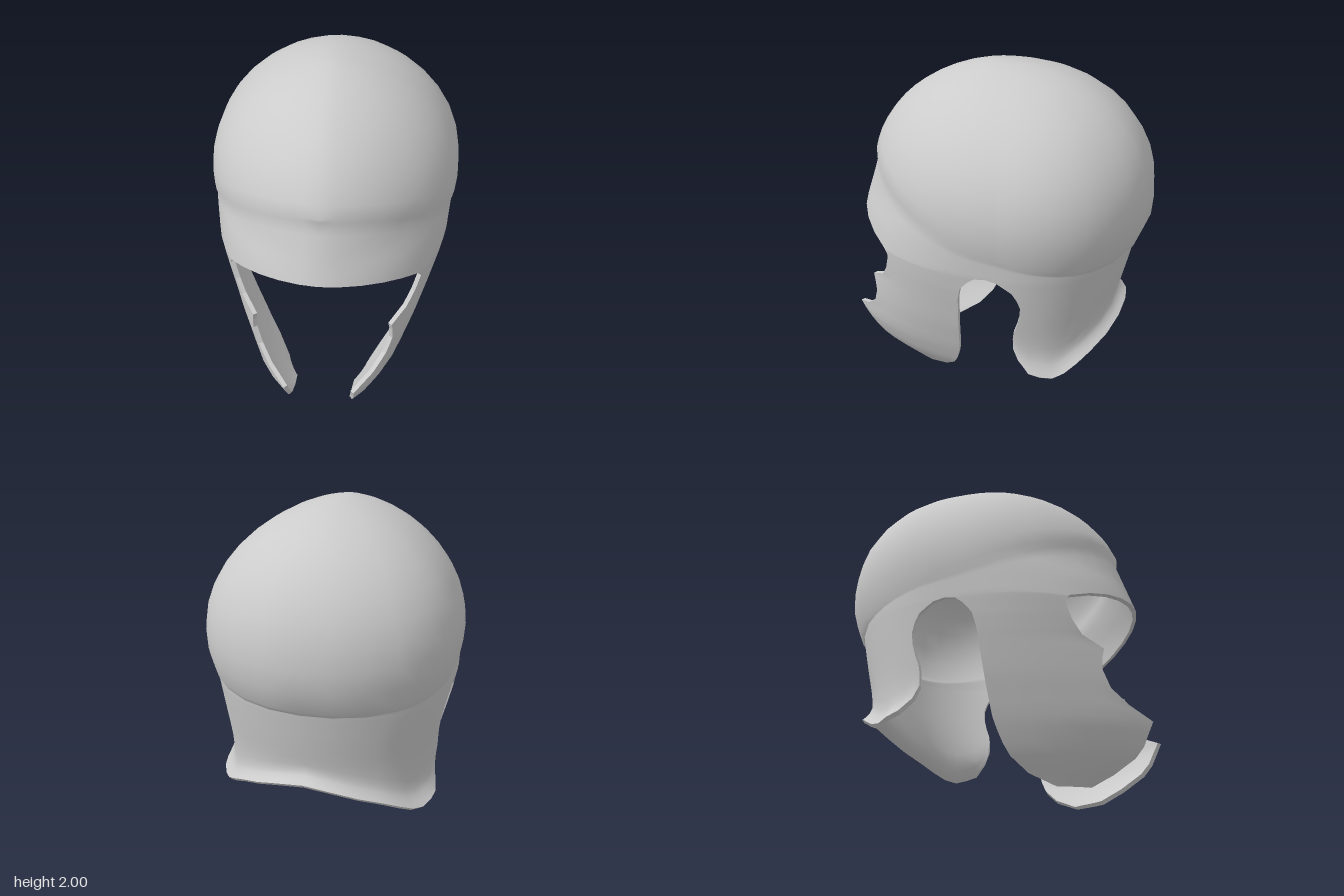
import * as THREE from 'three';
import { mergeVertices } from 'three/addons/utils/BufferGeometryUtils.js';

const THICK = 0.025;
const SIDE = 1.17, BACK = 2.17; // girth parameter: 0 front, 1..SIDE flat flank, BACK rear centre

// Linear lookup in a list of [key, value] with rising keys
function look(table, k) {
  if (k <= table[0][0]) return table[0][1];
  for (let i = 1; i < table.length; i++) {
    const [k0, v0] = table[i - 1], [k1, v1] = table[i];
    if (k <= k1) return v0 + (v1 - v0) * (k - k0) / (k1 - k0);
  }
  return table[table.length - 1][1];
}
const lerp = THREE.MathUtils.lerp;
const steps = n => Array.from({ length: n + 1 }, (_, i) => i / n);

// Egg-shaped horizontal section: w half width, a front reach, b rear reach,
// flat flank from z = -f to z = -c, e taper of the front
function egg(t, y, w, a, b, f, c, e) {
  if (t <= 1) {
    const s = t * Math.PI / 2;
    return [w * Math.pow(Math.sin(s), e), y, (a + f) * Math.cos(s) - f];
  }
  if (t <= SIDE) return [w, y, lerp(-f, -c, (t - 1) / (SIDE - 1))];
  const s = (t - SIDE) * Math.PI / 2;
  return [w * Math.cos(s), y, -c - (b - c) * Math.sin(s)];
}
function girth(z, a, b) {
  if (z >= 0) return Math.acos(Math.min(1, z / a)) * 2 / Math.PI;
  if (z >= -0.2) return 1 - z * (SIDE - 1) / 0.2;
  return SIDE + Math.asin(Math.min(1, (-0.2 - z) / (b - 0.2))) * 2 / Math.PI;
}

// Section sizes by height
const frontWidth = [[0, 0.34], [0.06, 0.378], [0.14, 0.435], [0.22, 0.475], [0.33, 0.522], [0.55, 0.597], [0.75, 0.65], [0.88, 0.681], [0.98, 0.7], [1.2, 0.718], [1.5, 0.71]];
const frontReach = [[0, 0.7], [0.06, 0.8], [0.14, 0.9], [0.22, 0.96], [0.33, 1], [0.55, 0.95], [0.75, 0.9], [0.98, 0.87], [1.1, 0.86], [1.46, 0.745]];
const frontTaper = [[0.98, 0], [1.25, 1]];
const neckWidth = [[0.31, 0.65], [0.45, 0.64], [0.55, 0.645], [0.75, 0.67], [0.98, 0.7]];
const backReach = [[0.31, 0.73], [0.57, 0.745], [0.62, 0.75], [0.8, 0.79], [1, 0.83], [1.1, 0.84]];
const reach = y => [look(frontReach, y), look(backReach, y)];
function front(t, y) {
  const k = look(frontTaper, y);
  return egg(t, y, look(frontWidth, y), ...reach(y), 0.1 * k, 0.2, 1 + 0.2 * k);
}

// Outlines
const rim = [[-0.85, 1], [-0.6, 1.02], [-0.3, 1.08], [0, 1.15], [0.3, 1.25], [0.6, 1.39], [0.77, 1.46]];
const cheekFront = [[0, 0.57], [0.06, 0.69], [0.14, 0.81], [0.2, 0.86], [0.33, 0.92], [0.4, 0.81], [0.48, 0.73], [0.58, 0.695],
  [0.65, 0.7], [0.7, 0.71], [0.76, 0.61], [0.84, 0.565], [0.94, 0.535], [0.98, 0.56]];
const cheekRear = [[0, 0.4], [0.06, 0.27], [0.14, 0.19], [0.22, 0.15], [0.33, 0.12], [0.45, 0.105], [0.65, 0.085], [0.8, 0.07],
  [0.88, 0.05], [0.94, 0], [0.97, -0.04], [0.98, -0.1]];
const neckFront = [[0.5, -0.25], [0.6, -0.25], [0.7, -0.285], [0.78, -0.3], [0.84, -0.29], [0.91, -0.25], [0.965, -0.17], [0.98, -0.1]];
const neckBottom = [[0, 0.5], [0.04, 0.43], [0.12, 0.36], [0.28, 0.32], [0.36, 0.335], [0.55, 0.42], [0.7, 0.47], [0.85, 0.515], [1, 0.54]];

const rimHeight = t => look(rim, egg(t, 0, 0.72, 0.77, 0.85, 0.1, 0.2, 1)[2]);

// Triangles of a grid f(u, v), u running front to back and v downwards, plus its mirror image
function patch(out, us, vs, f) {
  for (let i = 0; i + 1 < us.length; i++) for (let j = 0; j + 1 < vs.length; j++) {
    const a = f(us[i], vs[j]), b = f(us[i + 1], vs[j]);
    const c = f(us[i], vs[j + 1]), d = f(us[i + 1], vs[j + 1]);
    for (const tri of [[a, c, b], [b, c, d]]) {
      for (const p of tri) out.push(...p);
      for (const p of [tri[0], tri[2], tri[1]]) out.push(-p[0], p[1], p[2]);
    }
  }
}

// Welds the triangles, then adds an inner skin and walls along every open edge
function shell(name, tris) {
  let g = new THREE.BufferGeometry();
  g.setAttribute('position', new THREE.Float32BufferAttribute(tris, 3));
  g = mergeVertices(g, 1e-4);
  const src = g.index.array, idx = [];
  for (let i = 0; i < src.length; i += 3) {
    const [a, b, c] = [src[i], src[i + 1], src[i + 2]];
    if (a !== b && b !== c && a !== c) idx.push(a, b, c);
  }
  g.setIndex(idx);
  g.computeVertexNormals();
  const at = (attr, i) => new THREE.Vector3().fromBufferAttribute(g.attributes[attr], i);
  const P = [], N = [], edges = new Map();
  const inner = i => at('position', i).addScaledVector(at('normal', i), -THICK);
  const add = (p, n) => { P.push(p.x, p.y, p.z); N.push(n.x, n.y, n.z); };
  for (let i = 0; i < idx.length; i += 3) {
    const t = idx.slice(i, i + 3);
    for (const k of t) add(at('position', k), at('normal', k));
    for (const k of [t[0], t[2], t[1]]) add(inner(k), at('normal', k).negate());
    for (let k = 0; k < 3; k++) edges.set(t[k] + '_' + t[(k + 1) % 3], [t[k], t[(k + 1) % 3]]);
  }
  for (const [a, b] of edges.values()) {
    if (edges.has(b + '_' + a)) continue;
    const pa = at('position', a), pb = at('position', b), qa = inner(a), qb = inner(b);
    const n = pa.clone().sub(pb).cross(qa.clone().sub(pb)).normalize();
    for (const p of [pb, pa, qa, pb, qa, qb]) add(p, n);
  }
  const geo = new THREE.BufferGeometry();
  geo.setAttribute('position', new THREE.Float32BufferAttribute(P, 3));
  geo.setAttribute('normal', new THREE.Float32BufferAttribute(N, 3));
  const mesh = new THREE.Mesh(geo, new THREE.MeshStandardMaterial({ color: 0xcccccc }));
  mesh.name = name;
  return mesh;
}

// Point on the skull, v from the crown (0) down to the slanted rim (1)
function dome(t, v) {
  const y = lerp(rimHeight(t) + 0.02, 2, Math.cos(v * Math.PI / 2));
  const h = Math.max(0, (y - 1.28) / 0.72), d = Math.max(0, 1.28 - y);
  const r = Math.max(0, 1 - h * h), k = Math.pow(r, 0.44);
  const w = 0.74 * Math.pow(r, 0.58) - 0.75 * d * d;
  return egg(t, y, w, 0.8 * Math.pow(r, 0.555), 0.912 * k - 3.2 * d * d * d, 0.1 * k, 0.23 * k, 1.2);
}

export function createModel() {
  const tris = [], top = 0.98;
  const tBrow = girth(0.56, ...reach(top)), tEar = girth(-0.1, ...reach(top));
  const neckCols = [0, 0.04, 0.12, 0.2, 0.28, 0.36, 0.45, 0.55, 0.7, 0.85, 1];

  // Skull and the band below it, in three stretches: brow, cheek, neck
  const bandRows = [-1, ...steps(5)];
  for (const [t0, t1, cols, bottom] of [
    [0, tBrow, steps(5), u => 1.1 - 0.12 * u * u],
    [tBrow, tEar, steps(6), () => top],
    [tEar, BACK, neckCols, () => top],
  ]) {
    patch(tris, cols, steps(12), (u, v) => dome(lerp(t0, t1, u), v));
    patch(tris, cols, bandRows, (u, v) => {
      const t = lerp(t0, t1, u);
      if (v < 0) return dome(t, 1);
      return front(t, lerp(Math.max(rimHeight(t) - 0.015, top + 0.01), bottom(u), v));
    });
  }

  // Cheek guard
  const cheekRows = [0.98, 0.97, 0.94, 0.88, 0.84, 0.8, 0.76, 0.7, 0.65, 0.58, 0.53, 0.48, 0.4, 0.33, 0.27, 0.2, 0.14, 0.06, 0];
  patch(tris, steps(6), cheekRows, (u, y) => {
    const r = reach(y);
    return front(lerp(girth(look(cheekFront, y), ...r), girth(look(cheekRear, y), ...r), u), y);
  });

  // Neck guard with a flared lower lip, broad at the lobes and tight at the nape
  const neckRows = [0, 0.03, 0.08, 0.15, 0.25, 0.36, 0.5, 0.64, 0.76, 0.85, 0.91, 0.96, 1];
  patch(tris, neckCols, neckRows, (u, v) => {
    const low = look(neckBottom, u), y = lerp(top, low, v), r = reach(y);
    const t = lerp(girth(look(neckFront, y), ...r), BACK, u);
    const p = egg(t, y, look(neckWidth, y), ...r, 0, 0.2, 1);
    const lip = Math.max(0, 1 - (y - low) / lerp(0.15, 0.07, u));
    const flare = 0.06 * lip * lip * Math.min(1, u / 0.15);
    const dx = p[0], dz = p[2] + 0.2, len = Math.hypot(dx, dz);
    return [p[0] + flare * dx / len, y, p[2] + flare * dz / len];
  });

  const helmet = new THREE.Group();
  helmet.name = 'helmet';
  helmet.add(shell('helmetShell', tris));
  return helmet;
}
